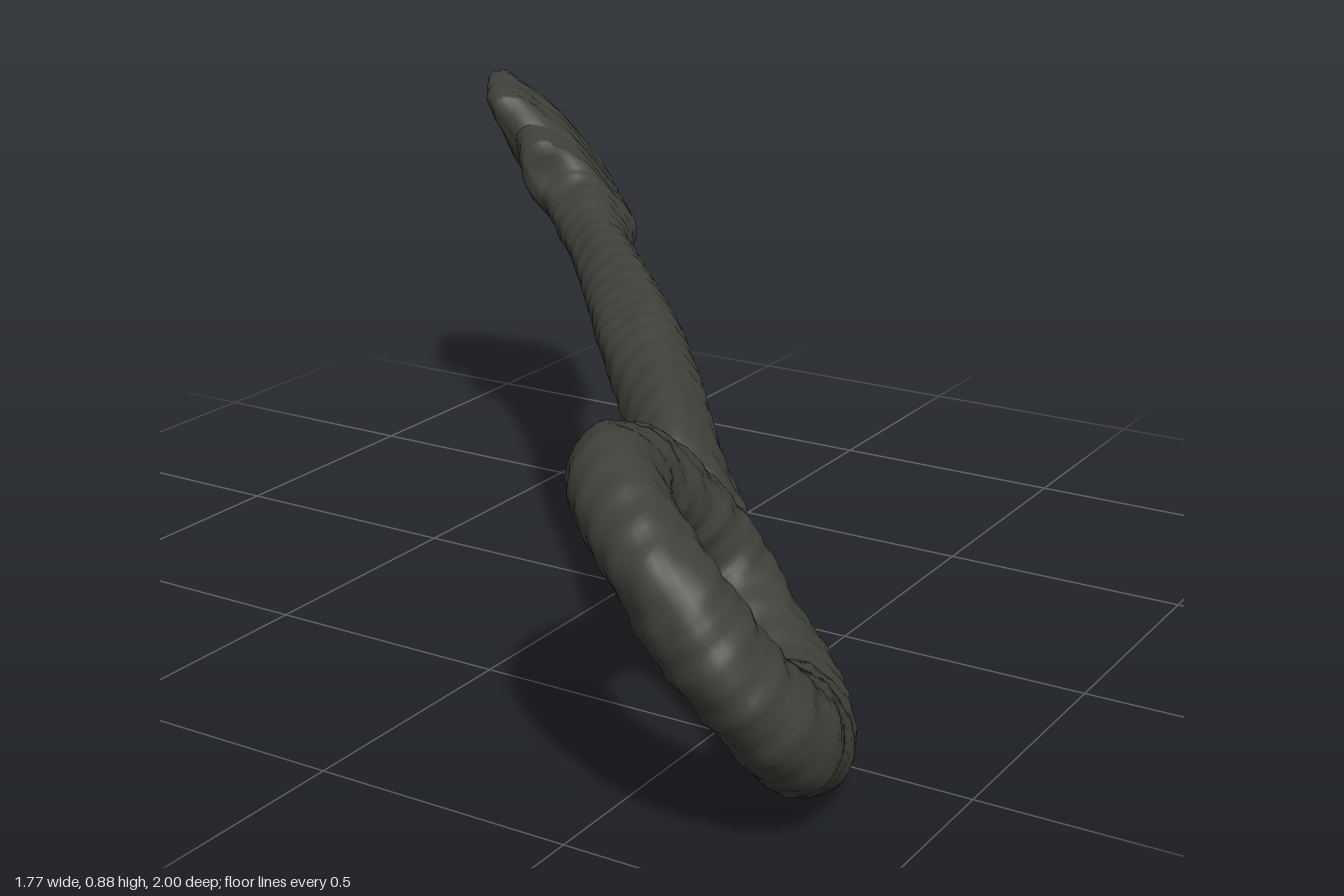
import * as THREE from 'three';
import { mergeVertices } from 'three/addons/utils/BufferGeometryUtils.js';

const material = new THREE.MeshStandardMaterial({ color: 0x3f413a });

// Frame shared by shaft, bit and ring: along the shaft, towards the bit's top, across the flat
const along = new THREE.Vector3(-0.62, 0.13, -0.77).normalize();
const across = new THREE.Vector3(0.69, 0.57, -0.44).normalize();
const upward = new THREE.Vector3().crossVectors(across, along).normalize();
across.crossVectors(along, upward);
const frame = new THREE.Matrix4()
  .makeBasis(along, upward, across)
  .setPosition(-0.4, 0.6, -0.53);

// Corroded surface: broad lumps, pits and fine grain
const lumps = (p) =>
  0.005 * Math.sin(9 * p.x + 21 * p.y - 4 * p.z) * Math.sin(8 * p.z - 17 * p.y + 1) +
  0.004 * Math.sin(31 * p.x - 23 * p.z + 3 * Math.sin(9 * p.y)) * Math.sin(33 * p.y + 13 * p.z + 2) +
  0.003 * Math.sin(71 * p.x - 43 * p.y + 2 * Math.sin(13 * p.z)) * Math.sin(59 * p.z + 67 * p.y);

function corrode(geometry) {
  geometry.deleteAttribute('uv');
  geometry.deleteAttribute('normal');
  const g = mergeVertices(geometry, 1e-5);
  g.computeVertexNormals();
  const pos = g.attributes.position;
  const normal = g.attributes.normal;
  const p = new THREE.Vector3();
  const n = new THREE.Vector3();
  for (let i = 0; i < pos.count; i++) {
    p.fromBufferAttribute(pos, i);
    n.fromBufferAttribute(normal, i);
    p.addScaledVector(n, lumps(p));
    pos.setXYZ(i, p.x, p.y, p.z);
  }
  g.computeVertexNormals();
  return g;
}

// Loft of rounded sections; each row is [distance, low edge, high edge, half thickness, lean]
function loft(rows, step, sides) {
  const sections = [];
  rows.slice(1).forEach((b, k) => {
    const a = rows[k];
    const count = Math.max(2, Math.ceil((b[0] - a[0]) / step));
    for (let i = 0; i < count; i++) {
      sections.push(a.map((v, c) => THREE.MathUtils.lerp(v, b[c], i / count)));
    }
  });
  sections.push(rows[rows.length - 1]);

  const points = [];
  const index = [];
  const soft = (v) => Math.sign(v) * Math.abs(v) ** 0.8;
  sections.forEach(([s, lo, hi, thick, lean], i) => {
    for (let j = 0; j < sides; j++) {
      const a = (j / sides) * Math.PI * 2;
      const t = (lo + hi) / 2 + ((hi - lo) / 2) * soft(Math.cos(a));
      const taper = 1 - 0.9 * Math.max(0, t - 0.08);
      // The lean grows towards the top of the bit
      points.push(s, t, lean * (0.6 + 2 * t) + thick * taper * soft(Math.sin(a)));
      if (i === 0) continue;
      const q = (i - 1) * sides + j;
      const r = (i - 1) * sides + ((j + 1) % sides);
      index.push(q, r, r + sides, q, r + sides, q + sides);
    }
  });
  const g = new THREE.BufferGeometry();
  g.setAttribute('position', new THREE.Float32BufferAttribute(points, 3));
  g.setIndex(index);
  return g;
}

export function createModel() {
  const model = new THREE.Group();
  const add = (name, geometry) => {
    const mesh = new THREE.Mesh(corrode(geometry), material);
    mesh.name = name;
    model.add(mesh);
  };

  // Shaft, flaring down into the ring at one end and into the stepped bit at the other
  const shaft = [
    [-1.29, -0.08, -0.06, 0.01, 0],
    [-1.25, -0.18, 0.03, 0.065, 0],
    [-1.17, -0.155, 0.07, 0.075, 0],
    [-1.08, -0.125, 0.075, 0.077, 0.01],
    [-0.95, -0.1, 0.075, 0.077, 0.015],
    [-0.65, -0.085, 0.085, 0.08, 0.018],
    [-0.4, -0.085, 0.085, 0.076, -0.005],
    [-0.12, -0.08, 0.08, 0.063, -0.035],
    [0, -0.08, 0.09, 0.07, -0.04],
    [0.08, -0.11, 0.1, 0.075, -0.04],
    [0.115, -0.12, 0.13, 0.075, -0.04],
    [0.13, -0.125, 0.21, 0.073, -0.04],
    [0.24, -0.14, 0.22, 0.07, -0.042],
    [0.26, -0.145, 0.3, 0.07, -0.043],
    [0.3, -0.145, 0.315, 0.068, -0.044],
    [0.48, -0.145, 0.305, 0.062, -0.045],
    [0.535, -0.13, 0.285, 0.052, -0.047],
    [0.56, -0.11, 0.24, 0.038, -0.047],
    [0.575, -0.09, 0.12, 0.02, -0.047],
    [0.578, -0.06, 0.05, 0.001, -0.047],
  ];
  add('shaftAndBit', loft(shaft, 0.012, 40).applyMatrix4(frame));

  // Ring handle: thinner across its plane, heaviest at its lowest point
  const path = [
    [0.45, 0.54, 0.75],
    [0.56, 0.505, 0.86],
    [0.66, 0.425, 0.903],
    [0.745, 0.31, 0.875],
    [0.782, 0.205, 0.79],
    [0.7, 0.118, 0.585],
    [0.57, 0.175, 0.47],
    [0.46, 0.28, 0.415],
    [0.4, 0.455, 0.53],
  ].map((p) => new THREE.Vector3(...p));
  const curve = new THREE.CatmullRomCurve3(path, true, 'centripetal');
  const steps = 160;
  const sides = 32;
  const ring = new THREE.TubeGeometry(curve, steps, 0.1, sides, true);
  const pos = ring.attributes.position;
  const offset = new THREE.Vector3();
  for (let i = 0; i < pos.count; i++) {
    const core = curve.getPointAt(Math.floor(i / (sides + 1)) / steps);
    offset.fromBufferAttribute(pos, i).sub(core);
    offset.addScaledVector(across, -0.22 * offset.dot(across));
    offset.multiplyScalar(1 + 0.5 * Math.max(0, 0.5 - core.y));
    offset.add(core);
    pos.setXYZ(i, offset.x, offset.y, offset.z);
  }
  add('ringHandle', ring);

  return model;
}
